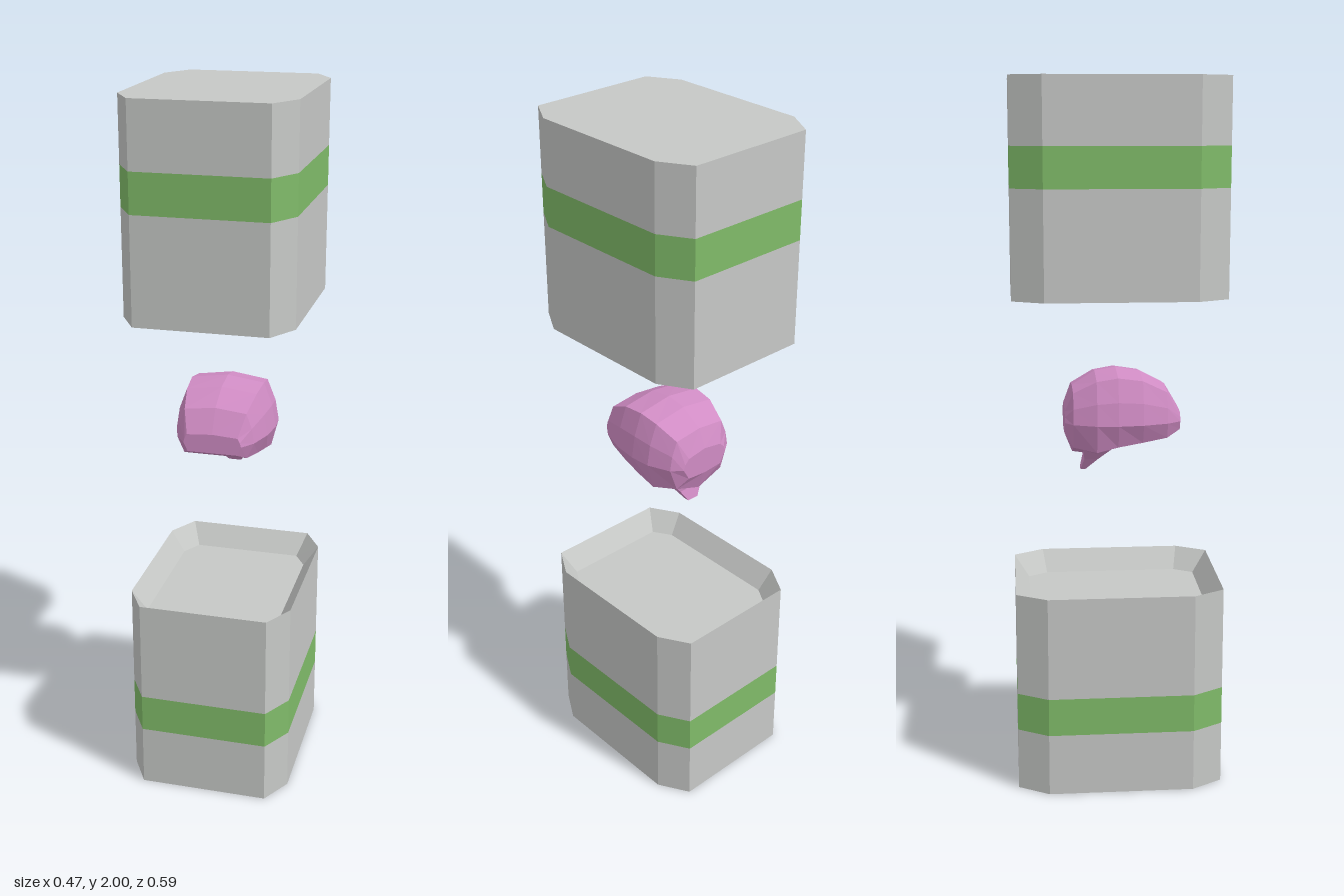
import * as THREE from 'three';

// Flat-shaded skin through a list of equal-length rings (counter-clockwise about the loft direction)
function loft(rings, capStart, capEnd) {
  const pos = [];
  const tri = (a, b, c) => pos.push(...a, ...b, ...c);
  const n = rings[0].length;
  for (let i = 0; i + 1 < rings.length; i++) {
    for (let j = 0; j < n; j++) {
      const k = (j + 1) % n;
      const a = rings[i][j], b = rings[i][k], c = rings[i + 1][k], d = rings[i + 1][j];
      tri(a, b, c);
      tri(a, c, d);
    }
  }
  const first = rings[0], last = rings[rings.length - 1];
  for (let j = 1; j + 1 < n; j++) {
    if (capStart) tri(first[0], first[j + 1], first[j]);
    if (capEnd) tri(last[0], last[j], last[j + 1]);
  }
  const geo = new THREE.BufferGeometry();
  geo.setAttribute('position', new THREE.Float32BufferAttribute(pos, 3));
  geo.computeVertexNormals();
  return geo;
}

// Chamfered rectangle at height y, inset evenly by d
function octagon(y, d = 0) {
  const x1 = 0.235 - d, z1 = 0.207 - 0.26 * d;
  const x2 = 0.184 - 0.59 * d, z2 = 0.294 - d;
  return [[x1, z1], [x1, -z1], [x2, -z2], [-x2, -z2], [-x1, -z1], [-x1, z1], [-x2, z2], [x2, z2]]
    .map(([x, z]) => [x, y, z]);
}

// Cross-section of the brain at depth z
function brainRing([z, top, sx, sy, wx, lx, ly, bottom]) {
  const wy = 1.055;
  const mx = sx + (wx - sx) * 0.7, my = (sy + wy) / 2;
  const right = [[lx, ly], [wx, wy], [mx, my], [sx, sy]];
  const left = right.map(([x, y]) => [-x, y]).reverse();
  return [[0, bottom], ...right, [0, top], ...left].map(([x, y]) => [x, y, z]);
}

// Rectangle for the stem
function stemRing(y, w, zBack, zFront) {
  return [[w, y, zFront], [w, y, zBack], [-w, y, zBack], [-w, y, zFront]];
}

export function createModel() {
  const casing = new THREE.MeshStandardMaterial({ name: 'greyCasing', color: 0xc6c8c6, flatShading: true });
  const green = new THREE.MeshStandardMaterial({ name: 'greenBand', color: 0x80bb69, flatShading: true });
  const pink = new THREE.MeshStandardMaterial({ name: 'pinkBrain', color: 0xd08cc4, flatShading: true });

  const model = new THREE.Group();
  model.name = 'brainCapsule';
  const add = (parent, name, geo, mat) => {
    const mesh = new THREE.Mesh(geo, mat);
    mesh.name = name;
    parent.add(mesh);
  };

  // Lower base and the matching upside-down cap, each with a recessed inner face
  for (const name of ['base', 'cap']) {
    const block = new THREE.Group();
    block.name = name;
    add(block, name + 'OuterCasing', loft([octagon(0), octagon(0.18)], true, false), casing);
    add(block, name + 'Band', loft([octagon(0.18), octagon(0.29)], false, false), green);
    add(block, name + 'RecessedCasing', loft([octagon(0.29), octagon(0.587), octagon(0.525, 0.043)], false, true), casing);
    if (name === 'cap') {
      block.rotation.z = Math.PI;
      block.position.y = 2;
    }
    model.add(block);
  }

  // Floating brain: z, top, shoulder x, shoulder y, widest x, lower x, lower y, bottom
  const brain = new THREE.Group();
  brain.name = 'brain';
  const sections = [
    [-0.148, 1.095, 0.06, 1.085, 0.08, 0.06, 1.02, 1.015],
    [-0.125, 1.15, 0.085, 1.14, 0.11, 0.085, 0.985, 0.955],
    [-0.06, 1.19, 0.102, 1.175, 0.136, 0.115, 0.975, 0.945],
    [0, 1.2, 0.105, 1.185, 0.14, 0.115, 0.99, 0.98],
    [0.07, 1.188, 0.1, 1.175, 0.132, 0.105, 1.0, 1.005],
    [0.14, 1.15, 0.088, 1.14, 0.11, 0.09, 1.01, 1.01],
    [0.178, 1.085, 0.072, 1.08, 0.082, 0.07, 1.03, 1.03],
  ];
  add(brain, 'brainLobes', loft(sections.map(brainRing), true, true), pink);
  add(brain, 'brainStem', loft([
    stemRing(0.905, 0.018, -0.102, -0.088),
    stemRing(0.94, 0.04, -0.092, -0.052),
    stemRing(0.98, 0.075, -0.095, -0.01),
  ], true, true), pink);
  model.add(brain);

  return model;
}
